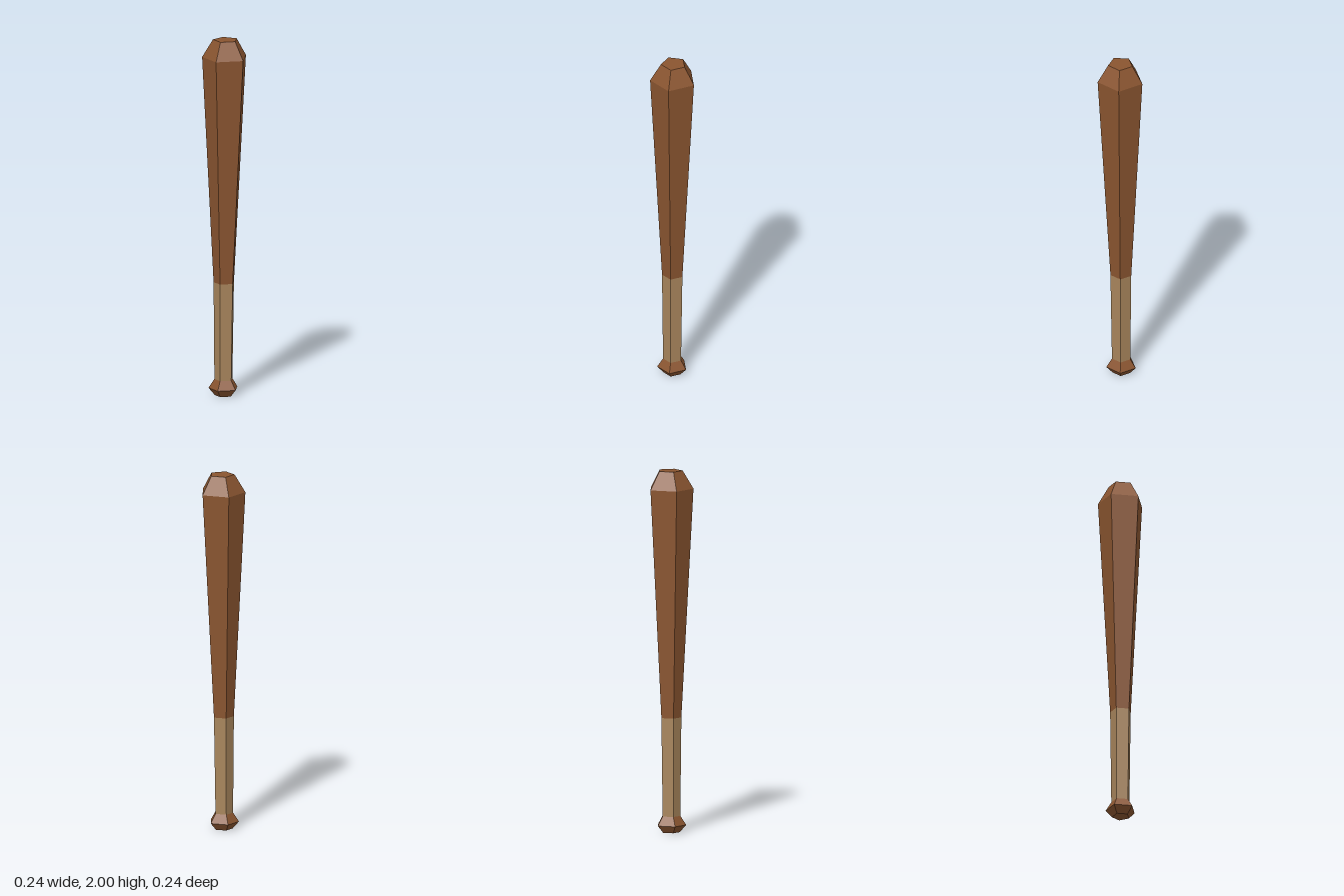
import * as THREE from 'three';

const SIDES = 5;
const TURN = 0.067; // small twist of the pentagon about y

// Five-sided turned section from [radius, y] pairs, leaning slightly along its height
function turned(name, color, profile) {
  const points = profile.map(([r, y]) => new THREE.Vector2(r, y));
  const geometry = new THREE.LatheGeometry(points, SIDES, TURN);
  const pos = geometry.attributes.position;
  for (let i = 0; i < pos.count; i++) {
    const t = pos.getY(i) / 2;
    pos.setX(i, pos.getX(i) - 0.011 + 0.008 * t);
    pos.setZ(i, pos.getZ(i) - 0.006 - 0.005 * t);
  }
  geometry.computeVertexNormals();
  const mesh = new THREE.Mesh(
    geometry,
    new THREE.MeshStandardMaterial({ color, flatShading: true })
  );
  mesh.name = name;
  return mesh;
}

export function createModel() {
  const bat = new THREE.Group();
  bat.name = 'bat';
  const wood = 0x8a5530;
  const wrap = 0xa8855c;

  // Flared knob at the foot, with a flat closed bottom
  bat.add(turned('knob', wood, [[0, 0], [0.05, 0], [0.085, 0.04], [0.053, 0.09]]));
  // Pale wrapped handle
  bat.add(turned('grip', wrap, [[0.053, 0.09], [0.06, 0.635]]));
  // Widening barrel with a bevelled, flat tip
  bat.add(turned('barrel', wood, [[0.06, 0.635], [0.129, 1.9], [0.07, 2], [0, 2]]));

  return bat;
}
